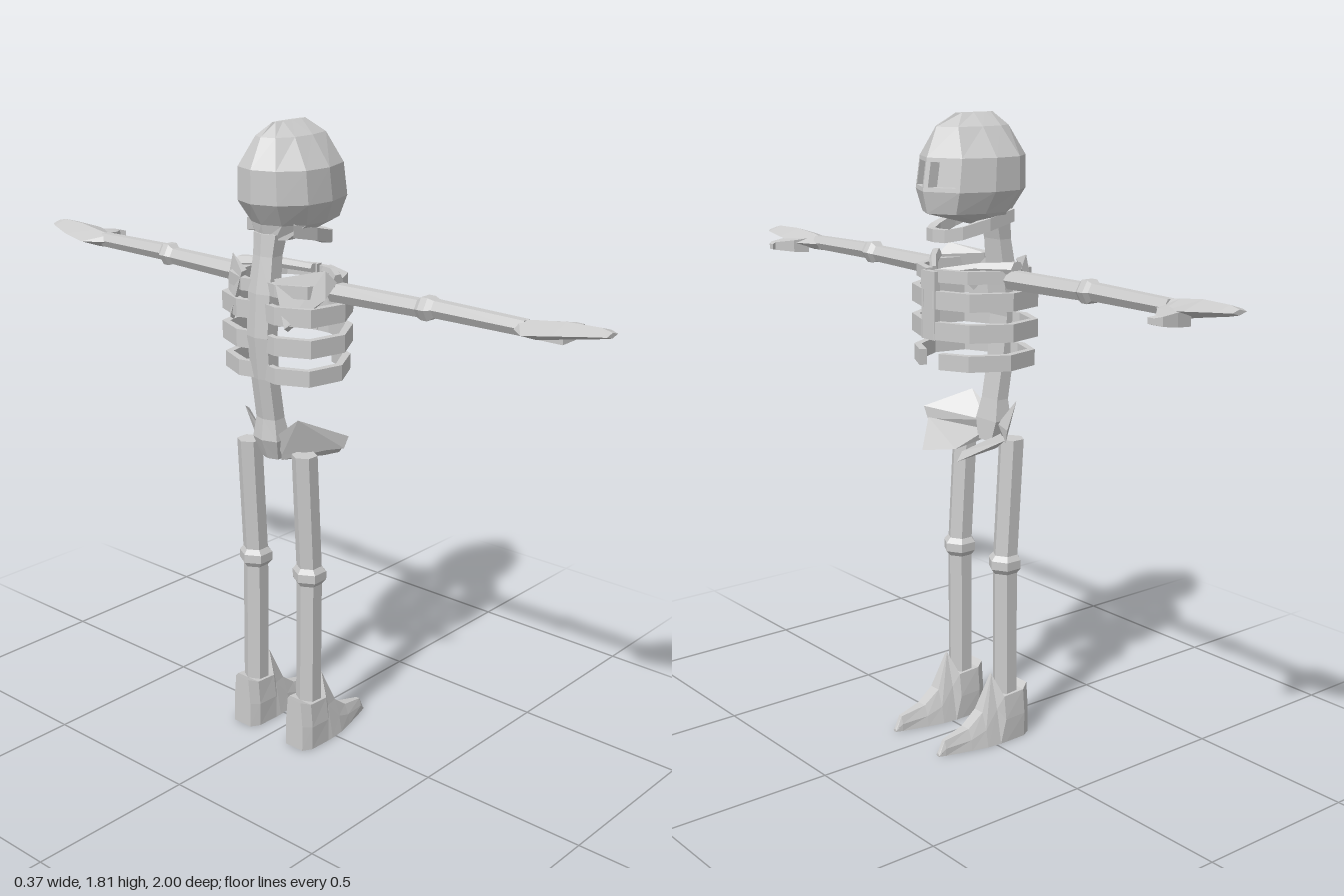
import * as THREE from 'three';
import { ConvexGeometry } from 'three/addons/geometries/ConvexGeometry.js';

const material = new THREE.MeshStandardMaterial({ color: 0xcccccc, flatShading: true });
const V = (x, y, z) => new THREE.Vector3(x, y, z);

// Skin a list of closed rings and cap both ends; faces are turned outward by signed volume.
// Quads picked by inset(ring, point) get a recessed panel.
function loft(rings, inset = () => false) {
  const tris = [];
  const quad = (a, b, c, d) => tris.push([a, b, c], [a, c, d]);
  const n = rings[0].length;
  for (let i = 0; i < rings.length - 1; i++) {
    const centre = rings[i].reduce((s, p) => s.add(p), V(0, 0, 0)).divideScalar(n);
    for (let j = 0; j < n; j++) {
      const k = (j + 1) % n;
      const q = [rings[i][j], rings[i][k], rings[i + 1][k], rings[i + 1][j]];
      if (!inset(i, j)) { quad(...q); continue; }
      const mid = q.reduce((s, p) => s.add(p), V(0, 0, 0)).divideScalar(4);
      const rim = q.map(p => p.clone().lerp(mid, 0.25));
      const deep = rim.map(p => p.clone().add(V((centre.x - mid.x) * 0.2, 0, 0)));
      for (let e = 0; e < 4; e++) {
        const f = (e + 1) % 4;
        quad(q[e], q[f], rim[f], rim[e]);
        quad(rim[e], rim[f], deep[f], deep[e]);
      }
      quad(...deep);
    }
  }
  const first = rings[0], last = rings[rings.length - 1];
  for (let j = 1; j < n - 1; j++) {
    tris.push([first[0], first[j + 1], first[j]], [last[0], last[j], last[j + 1]]);
  }
  const origin = first[0];
  const volume = tris.reduce((s, t) => {
    const [a, b, c] = t.map(p => p.clone().sub(origin));
    return s + a.dot(b.cross(c));
  }, 0);
  if (volume < 0) tris.forEach(t => t.reverse());
  const g = new THREE.BufferGeometry().setFromPoints(tris.flat());
  g.computeVertexNormals();
  return g;
}

// Six-sided bone through [x, y, z, radius] stations, running along y or z
function bone(stations, axis) {
  return loft(stations.map(([x, y, z, r]) => Array.from({ length: 6 }, (_, i) => {
    const a = (i / 6) * Math.PI * 2, c = r * Math.cos(a), s = r * Math.sin(a);
    return axis === 'y' ? V(x + c, y, z + s) : V(x + c, y + s, z);
  })));
}

// Flat band following [x, z, y] points, with its thickness measured toward the body axis
function band(path, height, thick, side) {
  return loft(path.map(([x, z, y]) => {
    const k = 1 - thick / Math.hypot(x + 0.02, z);
    const xi = (x + 0.02) * k - 0.02, zi = z * k * side, zo = z * side;
    return [V(xi, y, zi), V(x, y, zo), V(x, y + height, zo), V(xi, y + height, zi)];
  }));
}

export function createModel() {
  const model = new THREE.Group();
  const add = (parent, name, geometry) => {
    const m = new THREE.Mesh(geometry, material);
    m.name = name;
    parent.add(m);
  };

  // Skull: horizontal rings [y, back x, front x, half width], with eye sockets in front
  const outline = [[1, 0], [0.7, 0.75], [0.1, 1], [-0.45, 0.95], [-0.85, 0.55],
    [-1, 0], [-0.85, -0.55], [-0.45, -0.95], [0.1, -1], [0.7, -0.75]];
  const skull = [[1.81, -0.1, 0.03, 0.006], [1.775, -0.145, 0.095, 0.065],
    [1.695, -0.185, 0.128, 0.125], [1.605, -0.185, 0.142, 0.13],
    [1.545, -0.145, 0.128, 0.1], [1.505, -0.135, -0.03, 0.06]];
  add(model, 'skull', loft(
    skull.map(([y, b, f, w]) => outline.map(([u, v]) => V((b + f) / 2 + u * (f - b) / 2, y, v * w))),
    (i, j) => i === 2 && (j === 0 || j === 9)));

  // Spine from neck to sacrum: [x, y, half depth, half width]
  const spine = [[-0.115, 1.52, 0.03, 0.04], [-0.125, 1.46, 0.025, 0.035], [-0.14, 1.36, 0.028, 0.04],
    [-0.15, 1.24, 0.025, 0.038], [-0.138, 1.12, 0.024, 0.035], [-0.118, 1.0, 0.025, 0.035],
    [-0.115, 0.94, 0.035, 0.045], [-0.1, 0.88, 0.025, 0.03]];
  add(model, 'spine', loft(spine.map(([x, y, d, w]) =>
    [V(x - d, y, 0), V(x - d * 0.6, y, w), V(x + d, y, w), V(x + d, y, -w), V(x - d * 0.6, y, -w)])));

  // Breastbone joining the upper ribs
  add(model, 'breastbone', new THREE.BoxGeometry(0.018, 0.19, 0.06).translate(0.118, 1.295, 0));

  for (const side of [1, -1]) {
    const half = new THREE.Group();
    half.name = side < 0 ? 'leftHalf' : 'rightHalf';
    model.add(half);
    const mirror = pts => pts.map(([x, y, z, r]) => [x, y, z * side, r]);

    // Lower jaw
    add(half, 'jaw', band([[-0.11, 0.085, 1.515], [-0.02, 0.09, 1.495], [0.06, 0.07, 1.475],
      [0.1, 0.04, 1.467], [0.11, 0, 1.467]], 0.035, 0.025, side));

    // Ribs: [base y, height, width scale, front end z]
    for (const [y, h, k, end] of [[1.36, 0.035, 0.88, 0.02], [1.287, 0.05, 1, 0.02],
      [1.202, 0.05, 1, 0.025], [1.12, 0.045, 0.95, 0.045]]) {
      add(half, 'rib', band([[-0.16, 0.02], [-0.172, 0.07], [-0.13, 0.165], [-0.02, 0.19],
        [0.085, 0.13], [0.128, end]].map(([x, z]) => [x * (k + 1) / 2, z * k, y]), h, 0.022, side));
    }

    // Collarbone and shoulder blade
    add(half, 'collarbone', bone(mirror([[0.09, 1.385, 0.02, 0.014], [0.03, 1.4, 0.1, 0.016],
      [-0.04, 1.4, 0.18, 0.022]]), 'z'));
    add(half, 'shoulderBlade', new ConvexGeometry([[-0.16, 1.41, 0.06], [-0.13, 1.41, 0.07],
      [-0.08, 1.435, 0.17], [-0.05, 1.4, 0.185], [-0.09, 1.36, 0.18], [-0.165, 1.28, 0.1],
      [-0.15, 1.27, 0.1]].map(([x, y, z]) => V(x, y, z * side))));

    // Arm with elbow knob
    add(half, 'arm', bone(mirror([[-0.035, 1.37, 0.16, 0.029], [-0.032, 1.375, 0.45, 0.026],
      [-0.031, 1.378, 0.465, 0.035], [-0.031, 1.378, 0.485, 0.035], [-0.028, 1.38, 0.5, 0.026],
      [-0.024, 1.378, 0.77, 0.023]]), 'z'));

    // Mitten hand: [z, low x, high x, y, half thickness]
    add(half, 'hand', loft([[0.745, -0.045, 0, 1.375, 0.02], [0.8, -0.095, 0.045, 1.378, 0.025],
      [0.88, -0.088, 0.05, 1.39, 0.022], [0.97, -0.055, 0.035, 1.398, 0.014],
      [1, -0.035, 0.015, 1.398, 0.007]].map(([z, a, b, y, t]) => {
      const m = (a + b) / 2;
      return [V(a, y, z * side), V(m, y - t, z * side), V(b, y, z * side), V(m, y + t, z * side)];
    })));
    add(half, 'thumb', loft([[0, 0.79, 0.86, 0.022], [0.05, 0.797, 0.865, 0.018],
      [0.095, 0.835, 0.86, 0.012], [0.11, 0.825, 0.845, 0.008]].map(([x, z0, z1, t]) =>
      [V(x, 1.368 - t, z0 * side), V(x, 1.368 - t, z1 * side),
        V(x, 1.368 + t, z1 * side), V(x, 1.368 + t, z0 * side)])));

    // Pelvis: flared wing and forward pubic spur
    const hull = pts => new ConvexGeometry(pts.map(([x, y, z]) => V(x, y, z * side)));
    add(half, 'pelvisWing', hull([[-0.13, 0.95, 0.03], [-0.1, 0.93, 0.03], [-0.11, 1.01, 0.1],
      [0, 0.957, 0.19], [-0.005, 0.92, 0.178], [-0.11, 0.895, 0.04]]));
    add(half, 'pelvisSpur', hull([[-0.11, 0.9, 0.03], [-0.1, 0.875, 0.03], [-0.005, 0.925, 0.175],
      [-0.02, 0.89, 0.12], [0.09, 0.86, 0.08], [0.02, 0.865, 0.015]]));

    // Leg with knee knob
    add(half, 'leg', bone(mirror([[-0.088, 0.905, 0.105, 0.037], [-0.068, 0.565, 0.105, 0.037],
      [-0.066, 0.55, 0.105, 0.049], [-0.066, 0.525, 0.105, 0.049], [-0.067, 0.51, 0.105, 0.037],
      [-0.069, 0.12, 0.105, 0.037]]), 'y'));

    // Foot: [x, height, bottom half width, top half width]
    add(half, 'foot', loft([[-0.132, 0.155, 0.032, 0.025], [-0.105, 0.145, 0.048, 0.042],
      [-0.035, 0.14, 0.05, 0.04], [-0.015, 0.205, 0.05, 0.003], [0.03, 0.1, 0.046, 0.018],
      [0.08, 0.062, 0.034, 0.016], [0.16, 0.045, 0.012, 0.006], [0.18, 0.008, 0.004, 0.003]]
      .map(([x, h, w, t]) => [[0, -w], [0, w], [h * 0.5, (w + t) / 2 + 0.004], [h, t], [h, -t],
        [h * 0.5, -(w + t) / 2 - 0.004]].map(([y, z]) => V(x, y, 0.105 * side + z)))));
  }
  return model;
}
